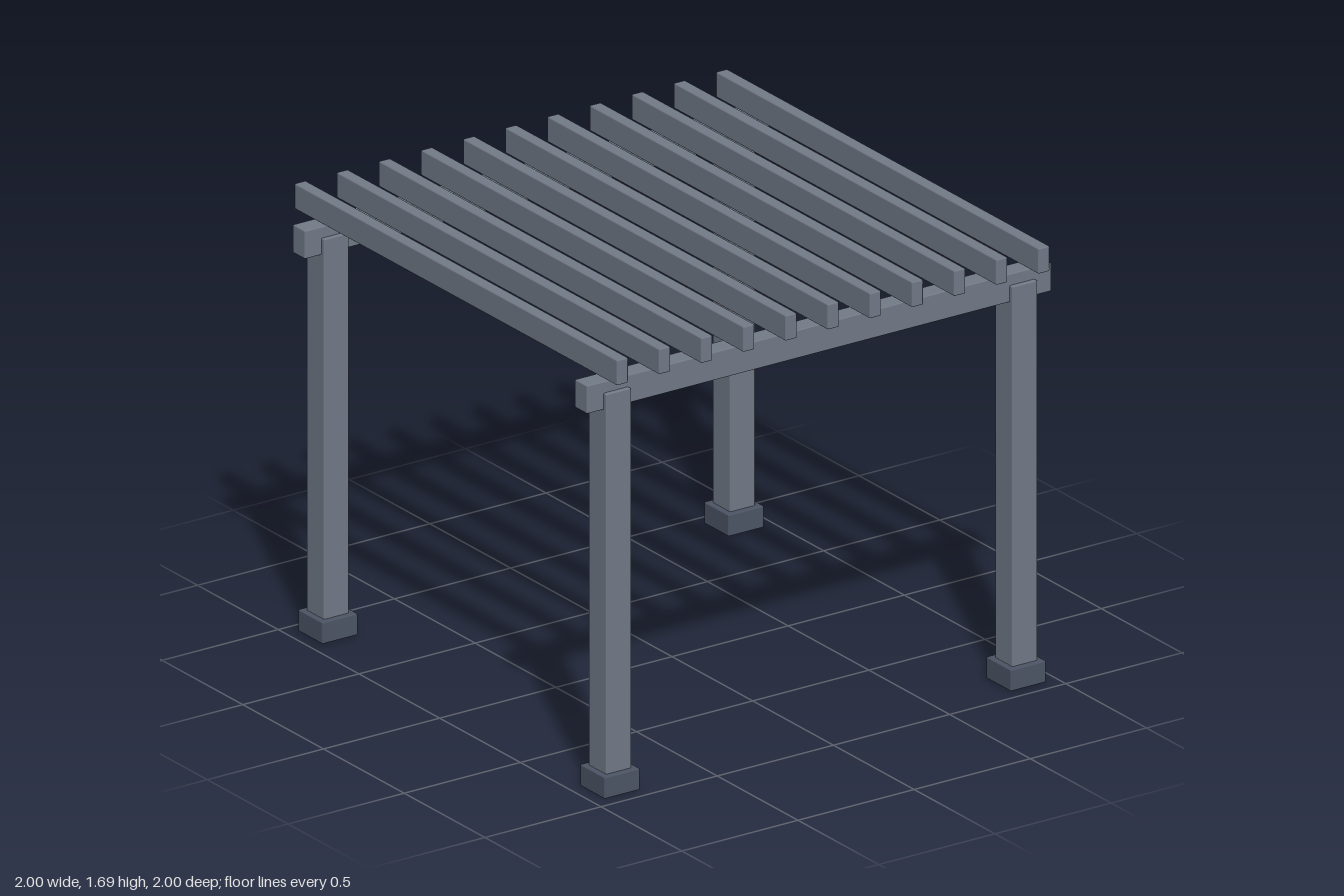
import * as THREE from 'three';
import { RoundedBoxGeometry } from 'three/addons/geometries/RoundedBoxGeometry.js';

const frameMaterial = new THREE.MeshStandardMaterial({ color: 0x737b88 });
const footMaterial = new THREE.MeshStandardMaterial({ color: 0x4d5566 });

// Timber with slightly eased edges, placed by its bottom y
function timber(name, [w, h, d], [x, bottom, z], material = frameMaterial) {
  const mesh = new THREE.Mesh(new RoundedBoxGeometry(w, h, d, 1, 0.005), material);
  mesh.name = name;
  mesh.position.set(x, bottom + h / 2, z);
  return mesh;
}

export function createModel() {
  const pergola = new THREE.Group();
  pergola.name = 'pergola';
  const inset = 0.874;

  for (const z of [inset, -inset]) {
    const end = z > 0 ? 'front' : 'back';

    // Corner posts standing in square footings
    for (const x of [inset, -inset]) {
      const side = x > 0 ? 'Left' : 'Right';
      pergola.add(timber(`${end}${side}Footing`, [0.153, 0.083, 0.153], [x, 0, z], footMaterial));
      pergola.add(timber(`${end}${side}Post`, [0.109, 1.525, 0.109], [x, 0.01, z]));
    }

    // Cross beam capping each pair of posts
    pergola.add(timber(`${end}Beam`, [2, 0.108, 0.077], [0, 1.471, z]));
  }

  // Evenly spaced roof rafters running front to back
  const rafters = new THREE.Group();
  rafters.name = 'rafters';
  for (let i = -5; i <= 5; i++) {
    rafters.add(timber(`rafter${i + 6}`, [0.049, 0.097, 2], [i * 0.1814, 1.593, 0]));
  }
  pergola.add(rafters);

  return pergola;
}
